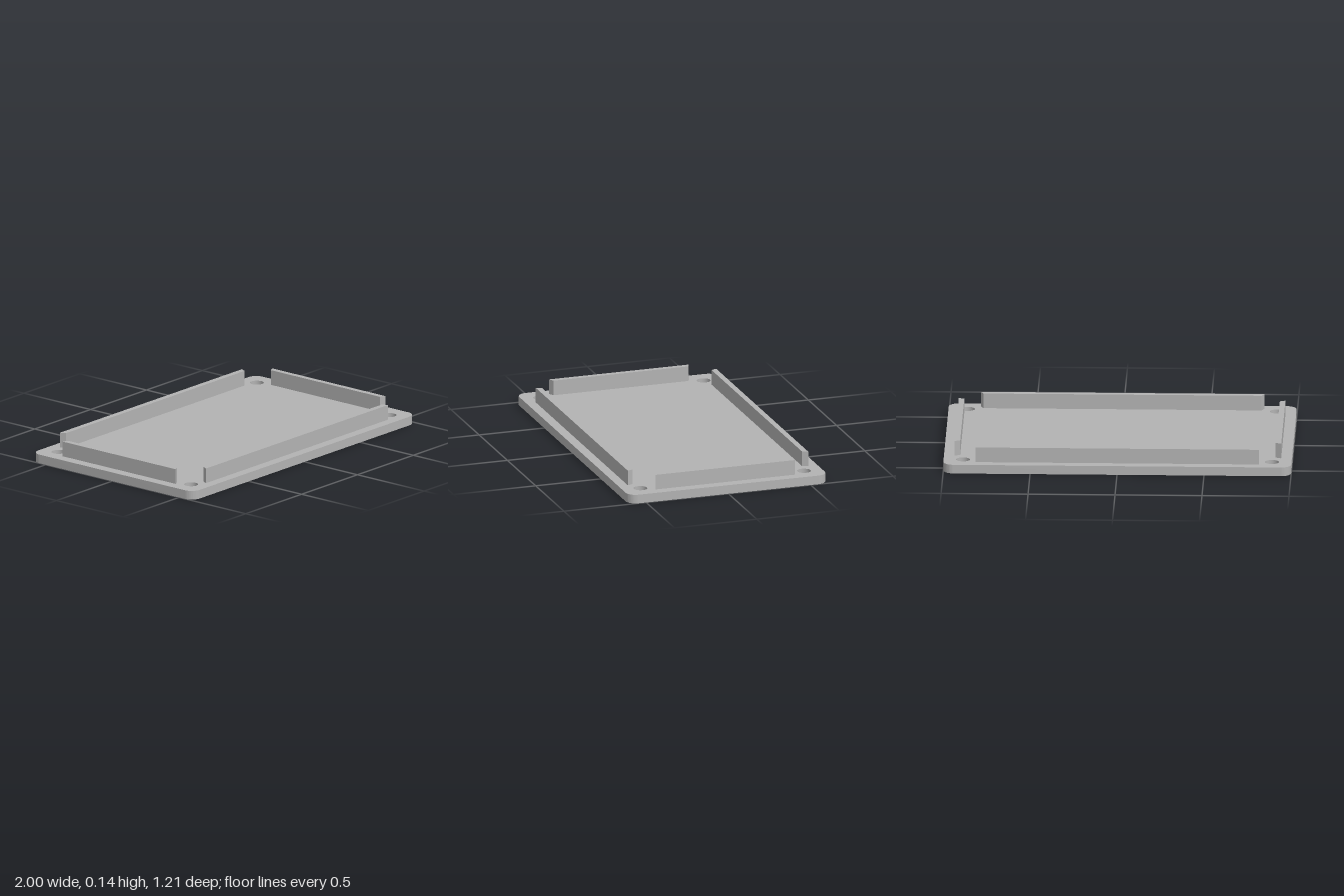
import * as THREE from 'three';
import { toCreasedNormals } from 'three/addons/utils/BufferGeometryUtils.js';

const PLATE = { halfX: 1, halfZ: 0.605, height: 0.052, radius: 0.06 };
const RAIL_TOP = 0.14;

// Extrude an outline drawn in the ground plane straight up, keeping sharp rims
function extrudeUp(shape, height) {
  const geometry = new THREE.ExtrudeGeometry(shape, { depth: height, bevelEnabled: false, curveSegments: 12 });
  geometry.rotateX(-Math.PI / 2);
  return toCreasedNormals(geometry, Math.PI / 6);
}

// Rounded rectangle with a screw hole near each corner
function plateShape() {
  const { halfX: w, halfZ: d, radius: r } = PLATE;
  const shape = new THREE.Shape();
  shape.absarc(w - r, d - r, r, 0, Math.PI / 2);
  shape.absarc(-w + r, d - r, r, Math.PI / 2, Math.PI);
  shape.absarc(-w + r, -d + r, r, Math.PI, Math.PI * 1.5);
  shape.absarc(w - r, -d + r, r, Math.PI * 1.5, Math.PI * 2);
  for (const x of [-0.888, 0.888]) {
    for (const z of [-0.497, 0.497]) {
      shape.holes.push(new THREE.Path().absarc(x, z, 0.04, 0, Math.PI * 2, true));
    }
  }
  return shape;
}

// Straight rail with mitred ends: longer on its outer side
function railGeometry(halfLength, inner, outer) {
  const taper = 0.015;
  const shape = new THREE.Shape([
    new THREE.Vector2(-halfLength, -outer),
    new THREE.Vector2(halfLength, -outer),
    new THREE.Vector2(halfLength - taper, -inner),
    new THREE.Vector2(-halfLength + taper, -inner),
  ]);
  return extrudeUp(shape, RAIL_TOP - PLATE.height);
}

export function createModel() {
  const group = new THREE.Group();
  group.name = 'enclosureLid';
  const grey = new THREE.MeshStandardMaterial({ color: 0xb3b3b3 });
  grey.name = 'grey plastic';

  const add = (name, geometry, y, turn = 0) => {
    const mesh = new THREE.Mesh(geometry, grey);
    mesh.name = name;
    mesh.position.y = y;
    mesh.rotation.y = turn;
    group.add(mesh);
  };

  // Base plate
  add('plate', extrudeUp(plateShape(), PLATE.height), 0);

  // Four locating rails standing on the plate
  const longRail = railGeometry(0.815, 0.515, 0.548);
  const shortRail = railGeometry(0.424, 0.907, 0.939);
  add('frontRail', longRail, PLATE.height);
  add('backRail', longRail, PLATE.height, Math.PI);
  add('leftRail', shortRail, PLATE.height, Math.PI / 2);
  add('rightRail', shortRail, PLATE.height, -Math.PI / 2);

  return group;
}
